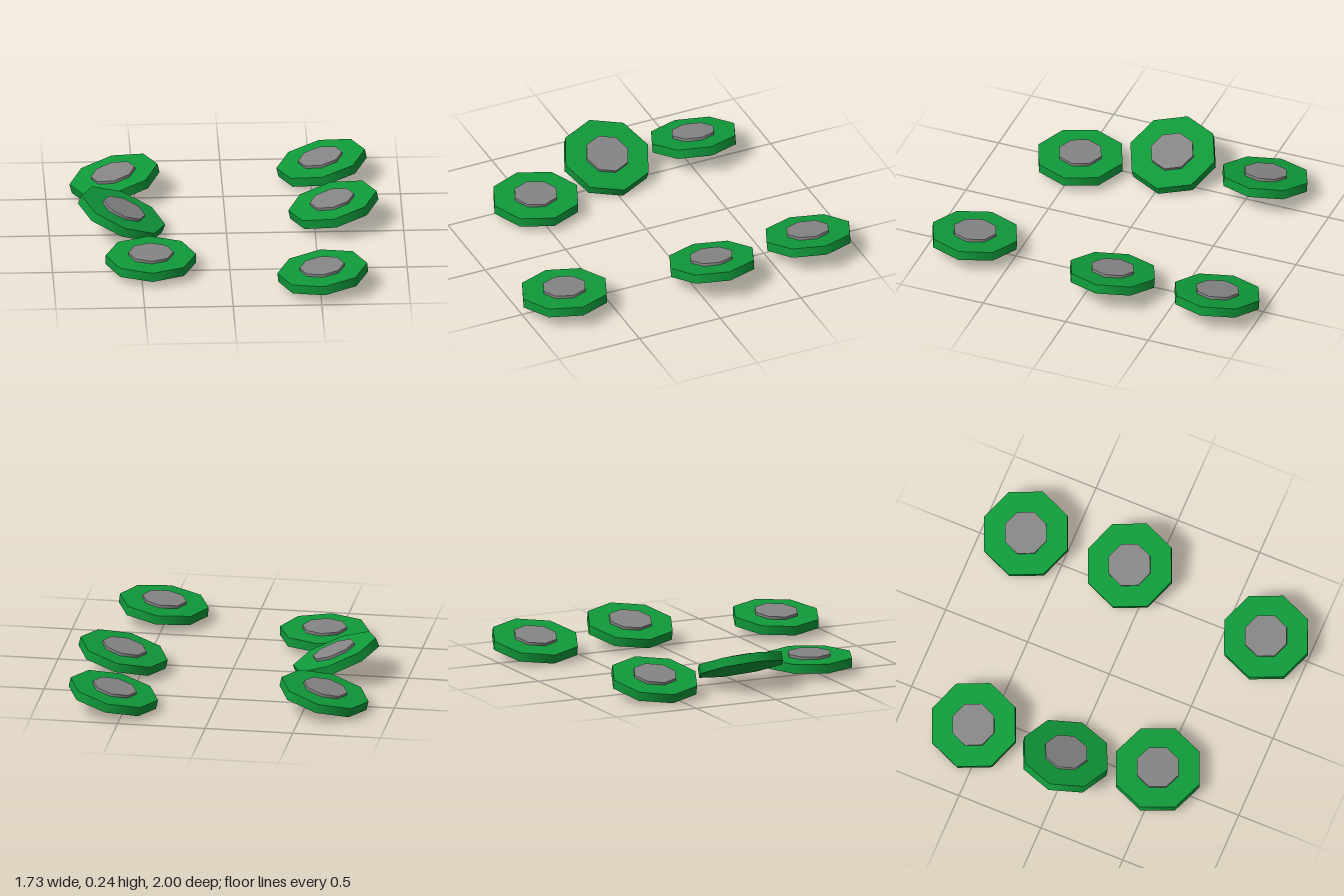
import * as THREE from 'three';

const RADIUS = 0.255;
const THICKNESS = 0.053;
const CAP_RADIUS = 0.127;
const CAP_HEIGHT = 0.016;

// Centre of each disc and its sideways tilt in degrees
const DISCS = [
  { name: 'rightBackDisc', at: [-0.61, 0.096, -0.572], tilt: 13.5 },
  { name: 'rightMiddleDisc', at: [-0.591, 0.124, -0.022], tilt: -21.8 },
  { name: 'rightFrontDisc', at: [-0.445, 0.071, 0.482], tilt: 0 },
  { name: 'leftBackDisc', at: [0.565, 0.093, -0.745], tilt: 12.2 },
  { name: 'leftMiddleDisc', at: [0.608, 0.112, -0.128], tilt: 12.7 },
  { name: 'leftFrontDisc', at: [0.515, 0.09, 0.743], tilt: 6.2 },
];

export function createModel() {
  const green = new THREE.MeshStandardMaterial({ color: 0x109a3a });
  green.name = 'green';
  const grey = new THREE.MeshStandardMaterial({ color: 0x858585 });
  grey.name = 'grey';

  // Eight-sided plate and the smaller cap raised on its top
  const plateGeometry = new THREE.CylinderGeometry(RADIUS, RADIUS, THICKNESS, 8);
  const capGeometry = new THREE.CylinderGeometry(CAP_RADIUS, CAP_RADIUS, CAP_HEIGHT, 8);

  const model = new THREE.Group();
  model.name = 'scatteredDiscs';
  for (const { name, at, tilt } of DISCS) {
    const disc = new THREE.Group();
    disc.name = name;
    const plate = new THREE.Mesh(plateGeometry, green);
    plate.name = 'plate';
    const cap = new THREE.Mesh(capGeometry, grey);
    cap.name = 'cap';
    cap.position.y = (THICKNESS + CAP_HEIGHT) / 2;
    disc.add(plate, cap);
    disc.position.set(...at);
    disc.rotation.z = THREE.MathUtils.degToRad(tilt);
    model.add(disc);
  }
  return model;
}
